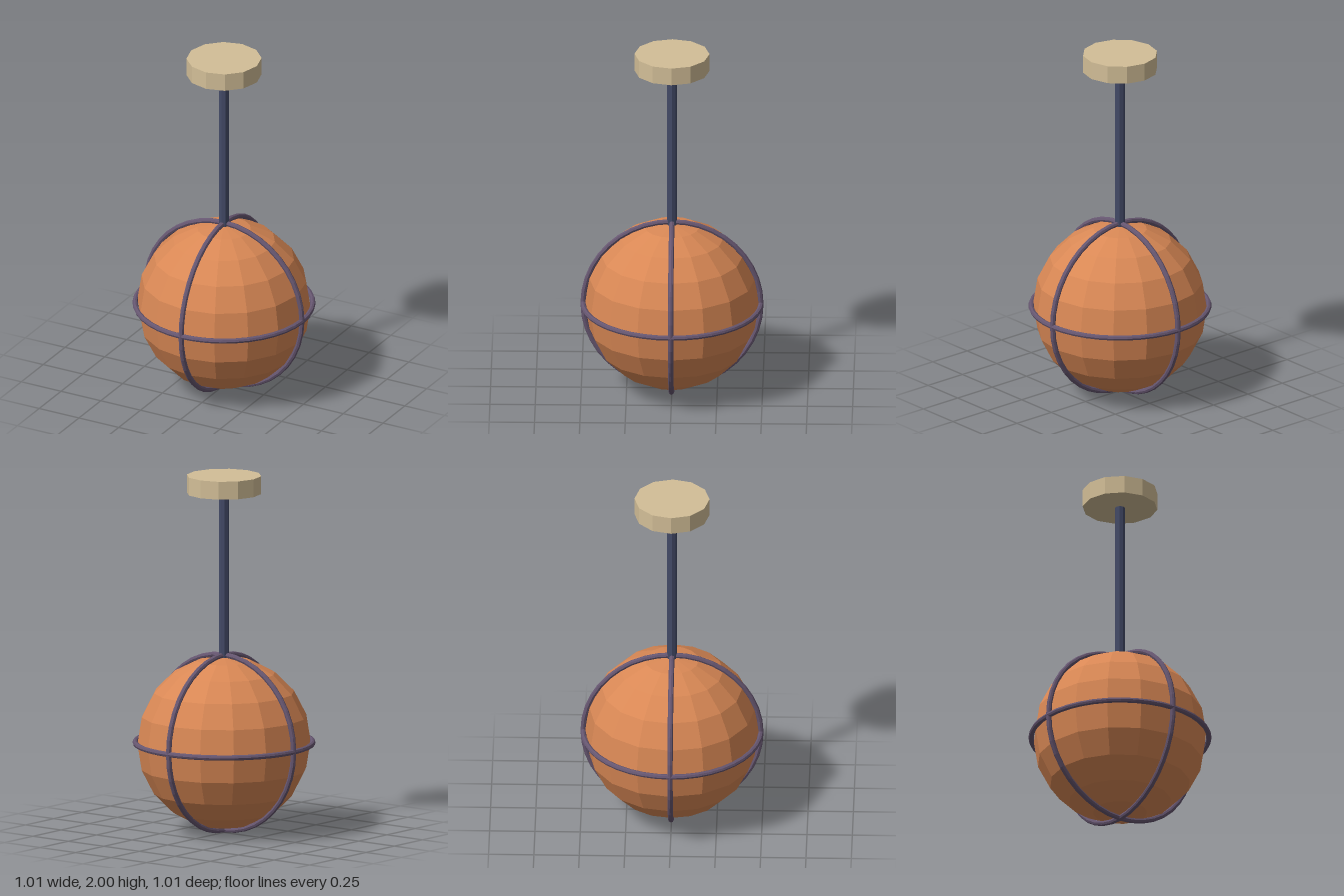
import * as THREE from 'three';

const CENTER_Y = 0.505;

function material(name, color) {
  const m = new THREE.MeshStandardMaterial({ color });
  m.name = name;
  m.flatShading = true;
  return m;
}

export function createModel() {
  const group = new THREE.Group();
  group.name = 'pendantLamp';

  const orange = material('orange shade', 0xd98855);
  const purple = material('purple cage', 0x665670);
  const navy = material('navy rod', 0x434a67);
  const cream = material('cream mount', 0xd2be97);

  function add(name, geometry, mat, y) {
    const mesh = new THREE.Mesh(geometry, mat);
    mesh.name = name;
    mesh.position.y = y;
    group.add(mesh);
    return mesh;
  }

  // Faceted globe
  add('globe', new THREE.SphereGeometry(0.48, 16, 10), orange, CENTER_Y);

  // Three mutually perpendicular cage rings
  const ring = new THREE.TorusGeometry(0.49, 0.015, 8, 40);
  add('meridianRingFront', ring, purple, CENTER_Y);
  add('meridianRingSide', ring, purple, CENTER_Y).rotation.y = Math.PI / 2;
  add('equatorRing', ring, purple, CENTER_Y).rotation.x = Math.PI / 2;

  // Hanging rod, running from the globe into the ceiling mount
  add('rod', new THREE.CylinderGeometry(0.028, 0.028, 0.94, 8), navy, 1.45);

  // Twelve-sided ceiling mount
  add('ceilingMount', new THREE.CylinderGeometry(0.207, 0.207, 0.1, 12), cream, 1.95);

  return group;
}
